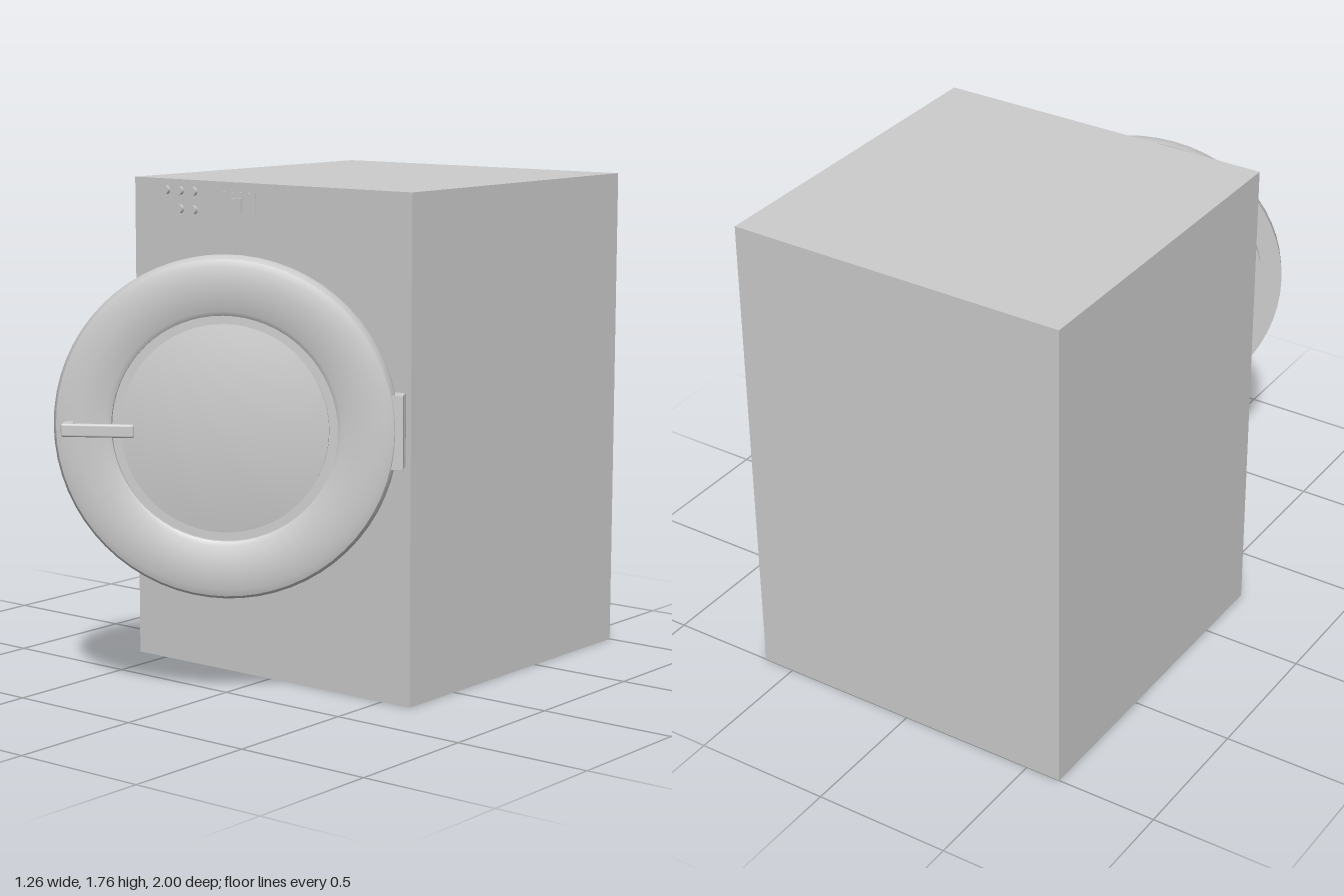
import * as THREE from 'three';
import { RoundedBoxGeometry } from 'three/addons/geometries/RoundedBoxGeometry.js';
import { toCreasedNormals } from 'three/addons/utils/BufferGeometryUtils.js';

const grey = new THREE.MeshStandardMaterial({ color: 0xcccccc });
const greyDouble = new THREE.MeshStandardMaterial({ color: 0xcccccc, side: THREE.DoubleSide });

const FRONT = 0.26, CY = 0.963;

function add(parent, name, geometry, x = 0, y = 0, z = 0, material = grey) {
  const mesh = new THREE.Mesh(geometry, material);
  mesh.name = name;
  mesh.position.set(x, y, z);
  parent.add(mesh);
  return mesh;
}

// Turned part about the z axis; profile points are [radius, z]
function turned(profile, segments = 64) {
  const g = new THREE.LatheGeometry(profile.map(([r, z]) => new THREE.Vector2(r, z)), segments);
  g.rotateX(Math.PI / 2);
  return toCreasedNormals(g, 0.6);
}

function createCabinet() {
  const cabinet = new THREE.Group();
  cabinet.name = 'cabinet';

  // Box with its front side left off
  const shell = new THREE.BoxGeometry(1.25, 1.76, 1.26);
  const index = Array.from(shell.index.array);
  index.splice(24, 6);
  shell.setIndex(index);
  shell.clearGroups();
  add(cabinet, 'cabinetShell', shell, -0.005, 0.88, -0.37, greyDouble);

  // Front panel with the round loading opening
  const panel = new THREE.Shape();
  panel.moveTo(-0.63, 0).lineTo(0.62, 0).lineTo(0.62, 1.76).lineTo(-0.63, 1.76).closePath();
  panel.holes.push(new THREE.Path().absarc(0, CY, 0.43, 0, Math.PI * 2, true));
  add(cabinet, 'frontPanel', new THREE.ShapeGeometry(panel, 32), 0, 0, FRONT, greyDouble);
  add(cabinet, 'openingTrim', new THREE.RingGeometry(0.43, 0.53, 32), 0, CY, FRONT + 0.002);

  // Gasket and drum
  add(cabinet, 'gasket', turned([[0.43, 0], [0.4, -0.05], [0.4, -0.13], [0.5, -0.16]]), 0, CY, FRONT, greyDouble);
  add(cabinet, 'drum', turned([[0.5, -0.16], [0.5, -1.0], [0.46, -1.05], [0, -1.05]]), 0, CY, FRONT, greyDouble);
  for (let i = 0; i < 3; i++) {
    const a = Math.PI / 2 + i * Math.PI * 2 / 3;
    const fin = add(cabinet, 'drumPaddle', new RoundedBoxGeometry(0.1, 0.07, 0.8, 2, 0.02),
      Math.cos(a) * 0.46, CY + Math.sin(a) * 0.46, -0.33);
    fin.rotation.z = a;
  }
  return cabinet;
}

function createControls() {
  const controls = new THREE.Group();
  controls.name = 'controls';
  for (const [x, y] of [[-0.475, 1.72], [-0.41, 1.72], [-0.345, 1.72], [-0.41, 1.655], [-0.345, 1.655]]) {
    const g = new THREE.CylinderGeometry(0.015, 0.015, 0.012, 20);
    g.rotateX(Math.PI / 2);
    add(controls, 'roundButton', g, x, y, FRONT + 0.006);
  }
  add(controls, 'controlPlate', new THREE.BoxGeometry(0.17, 0.09, 0.005), -0.143, 1.68, FRONT + 0.0025);
  add(controls, 'squareButton', new THREE.BoxGeometry(0.053, 0.05, 0.016), -0.143, 1.68, FRONT + 0.008);
  return controls;
}

// Door in its own frame: front face at z = 0, then swung open
function createDoor() {
  const door = new THREE.Group();
  door.name = 'door';
  door.position.set(0.13, CY, 0.655);
  door.rotation.y = THREE.MathUtils.degToRad(32.7);

  add(door, 'doorRing', turned([
    [0.39, -0.118], [0.51, -0.118], [0.51, -0.072], [0.585, -0.072], [0.587, -0.03],
    [0.575, -0.01], [0.55, -0.001], [0.5, 0], [0.4, 0], [0.385, -0.01], [0.385, -0.06], [0.39, -0.118],
  ]), 0, 0, 0, greyDouble);

  // Domed glass, bulging a little on both sides
  const dome = [];
  for (let i = 0; i <= 8; i++) {
    const r = 0.355 * (1 - i / 8);
    dome.push([r, 0.015 - 0.03 * (r / 0.355) ** 2]);
  }
  add(door, 'doorGlass', turned([[0, -0.128], [0.2, -0.124], [0.355, -0.112], [0.355, -0.03], ...dome]), 0, 0, 0, greyDouble);
  add(door, 'glassSeal', turned([[0.387, -0.025], [0.35, -0.025]]), 0, 0, 0, greyDouble);

  // Pull handle
  add(door, 'handlePost', new RoundedBoxGeometry(0.038, 0.046, 0.064, 3, 0.008), -0.526, -0.002, 0.027);
  add(door, 'handleBar', new RoundedBoxGeometry(0.25, 0.046, 0.018, 3, 0.008), -0.421, -0.002, 0.05);
  return door;
}

function createHinge() {
  const hinge = new THREE.Group();
  hinge.name = 'hinge';
  add(hinge, 'hingePin', new THREE.CylinderGeometry(0.036, 0.036, 0.25, 20), 0.57, 0.96, 0.282);
  const leaf = add(hinge, 'hingeLeaf', new THREE.BoxGeometry(0.045, 0.25, 0.07), 0.592, 0.96, 0.3);
  leaf.rotation.y = THREE.MathUtils.degToRad(32.7);
  return hinge;
}

export function createModel() {
  const model = new THREE.Group();
  model.name = 'washingMachine';
  model.add(createCabinet(), createControls(), createDoor(), createHinge());
  return model;
}
